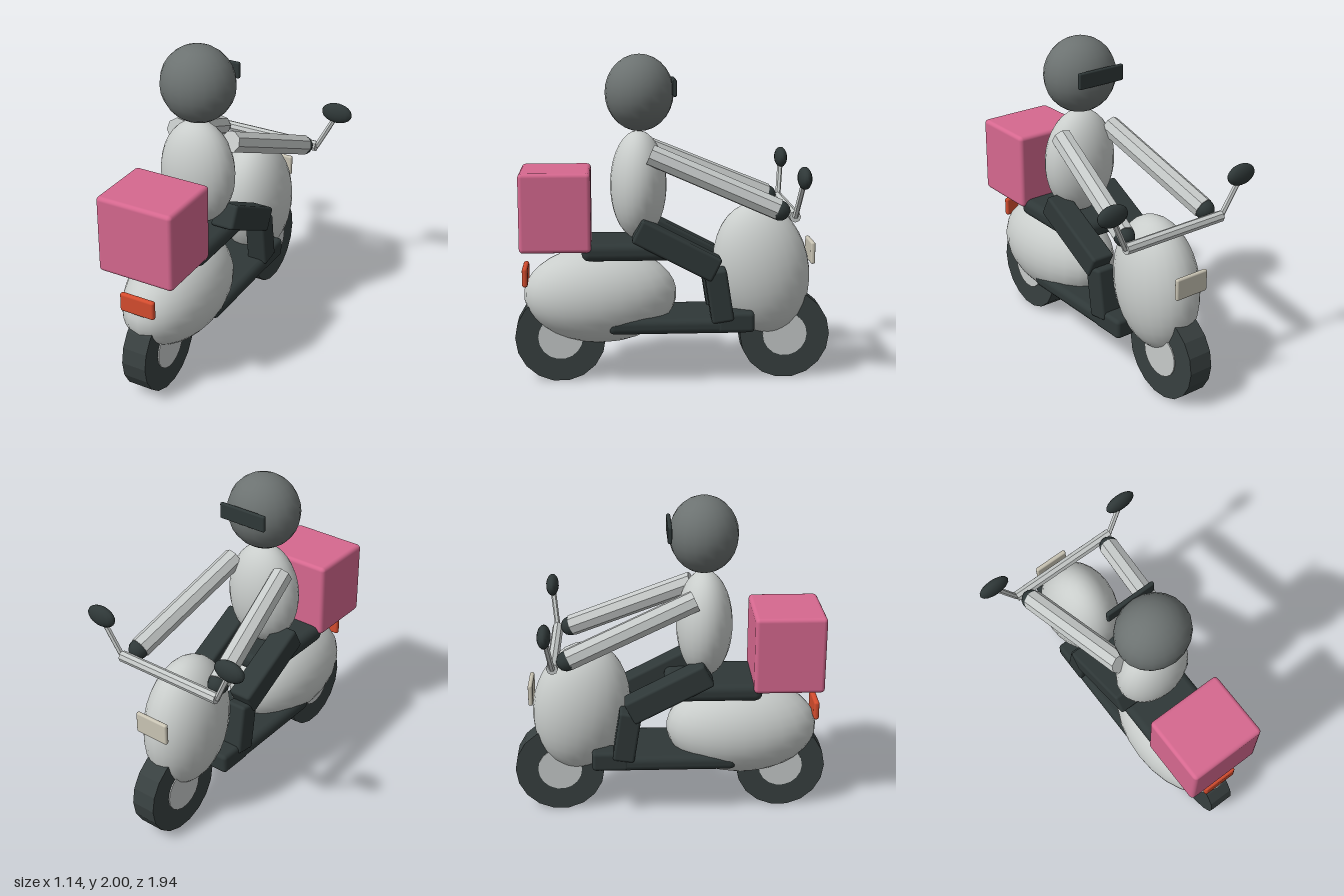
import * as THREE from 'three';
import { RoundedBoxGeometry } from 'three/addons/geometries/RoundedBoxGeometry.js';

const paint = (name, color, flatShading = false) => {
  const m = new THREE.MeshStandardMaterial({ color, flatShading });
  m.name = name;
  return m;
};

export function createModel() {
  const group = new THREE.Group();
  const light = paint('light grey', 0xc9cdcb);
  const metal = paint('faceted light grey', 0xc6cac9, true);
  const dark = paint('charcoal', 0x2f3838);
  const rubber = paint('tyre charcoal', 0x384040, true);
  const helmetGrey = paint('helmet grey', 0x6c7271);
  const pink = paint('pink', 0xd6688f);
  const orange = paint('orange red', 0xd44c2e);
  const beige = paint('beige', 0xc9c4b4);

  const add = (name, geometry, material, x, y, z, tilt = 0) => {
    const mesh = new THREE.Mesh(geometry, material);
    mesh.name = name;
    mesh.position.set(x, y, z);
    mesh.rotation.x = tilt;
    group.add(mesh);
    return mesh;
  };
  const ellipsoid = (name, material, pos, radii, tilt = 0, seg = 24) =>
    add(name, new THREE.SphereGeometry(1, seg, Math.round(seg * 0.7)).scale(...radii), material, ...pos, tilt);
  const block = (name, material, pos, size, radius, tilt = 0) =>
    add(name, new RoundedBoxGeometry(...size, 2, radius), material, ...pos, tilt);
  const rod = (name, material, from, to, radius, sides = 8) => {
    const a = new THREE.Vector3(...from), b = new THREE.Vector3(...to);
    const dir = b.clone().sub(a);
    const mid = a.clone().add(b).multiplyScalar(0.5);
    const mesh = add(name, new THREE.CylinderGeometry(radius, radius, dir.length(), sides), material, mid.x, mid.y, mid.z);
    mesh.quaternion.setFromUnitVectors(new THREE.Vector3(0, 1, 0), dir.normalize());
    return mesh;
  };
  // Rounded limb lying in the y-z plane between two points
  const limb = (name, x, [y0, z0], [y1, z1], width, depth) =>
    block(name, dark, [x, (y0 + y1) / 2, (z0 + z1) / 2],
      [width, Math.hypot(y1 - y0, z1 - z0), depth], 0.018, Math.atan2(z0 - z1, y0 - y1));

  // Wheels
  for (const [name, z] of [['rear', 0.692], ['front', -0.692]]) {
    add(name + 'Tyre', new THREE.CylinderGeometry(0.278, 0.278, 0.156, 18).rotateZ(Math.PI / 2), rubber, 0, 0.278, z);
    add(name + 'Hub', new THREE.CylinderGeometry(0.137, 0.137, 0.17, 18).rotateZ(Math.PI / 2), metal, 0, 0.28, z);
  }

  // Scooter body
  ellipsoid('rearBody', light, [0, 0.532, 0.445], [0.275, 0.3, 0.47]);
  ellipsoid('frontShield', light, [0, 0.68, -0.55], [0.225, 0.418, 0.298], 0.17);
  block('footboard', dark, [0, 0.373, -0.035], [0.47, 0.096, 0.87], 0.04);
  block('seat', dark, [0, 0.83, 0.26], [0.44, 0.11, 0.59], 0.045);
  block('tailLight', orange, [0, 0.662, 0.902], [0.226, 0.12, 0.034], 0.015);
  block('headlight', beige, [0, 0.794, -0.855], [0.226, 0.136, 0.028], 0.012);
  block('deliveryBox', pink, [0, 1.076, 0.711], [0.486, 0.478, 0.428], 0.025);

  // Handlebar
  rod('handlebar', metal, [-0.355, 1.066, -0.7], [0.355, 1.066, -0.7], 0.034);

  // Rider
  ellipsoid('torso', light, [0, 1.21, 0.208], [0.235, 0.332, 0.172]);
  ellipsoid('helmet', helmetGrey, [0, 1.77, 0.2], [0.226, 0.231, 0.208], 0, 20);
  block('visor', dark, [0, 1.805, -0.006], [0.32, 0.1, 0.026], 0.01);

  // Mirrored parts
  for (const [side, s] of [['left', 1], ['right', -1]]) {
    rod(side + 'MirrorStalk', metal, [0.355 * s, 1.066, -0.7], [0.462 * s, 1.28, -0.728], 0.017, 6);
    ellipsoid(side + 'Mirror', dark, [0.47 * s, 1.312, -0.732], [0.101, 0.065, 0.04], 0, 16);
    rod(side + 'Arm', metal, [0.18 * s, 1.416, 0.14], [0.295 * s, 1.1, -0.61], 0.066);
    ellipsoid(side + 'Glove', dark, [0.298 * s, 1.095, -0.617], [0.062, 0.06, 0.062], 0, 14);
    limb(side + 'Thigh', 0.185 * s, [0.968, 0.225], [0.72, -0.254], 0.15, 0.152);
    limb(side + 'Shin', 0.18 * s, [0.718, -0.245], [0.4, -0.295], 0.135, 0.135);
    block(side + 'Foot', dark, [0.17 * s, 0.395, -0.373], [0.135, 0.125, 0.228], 0.025);
  }
  return group;
}
